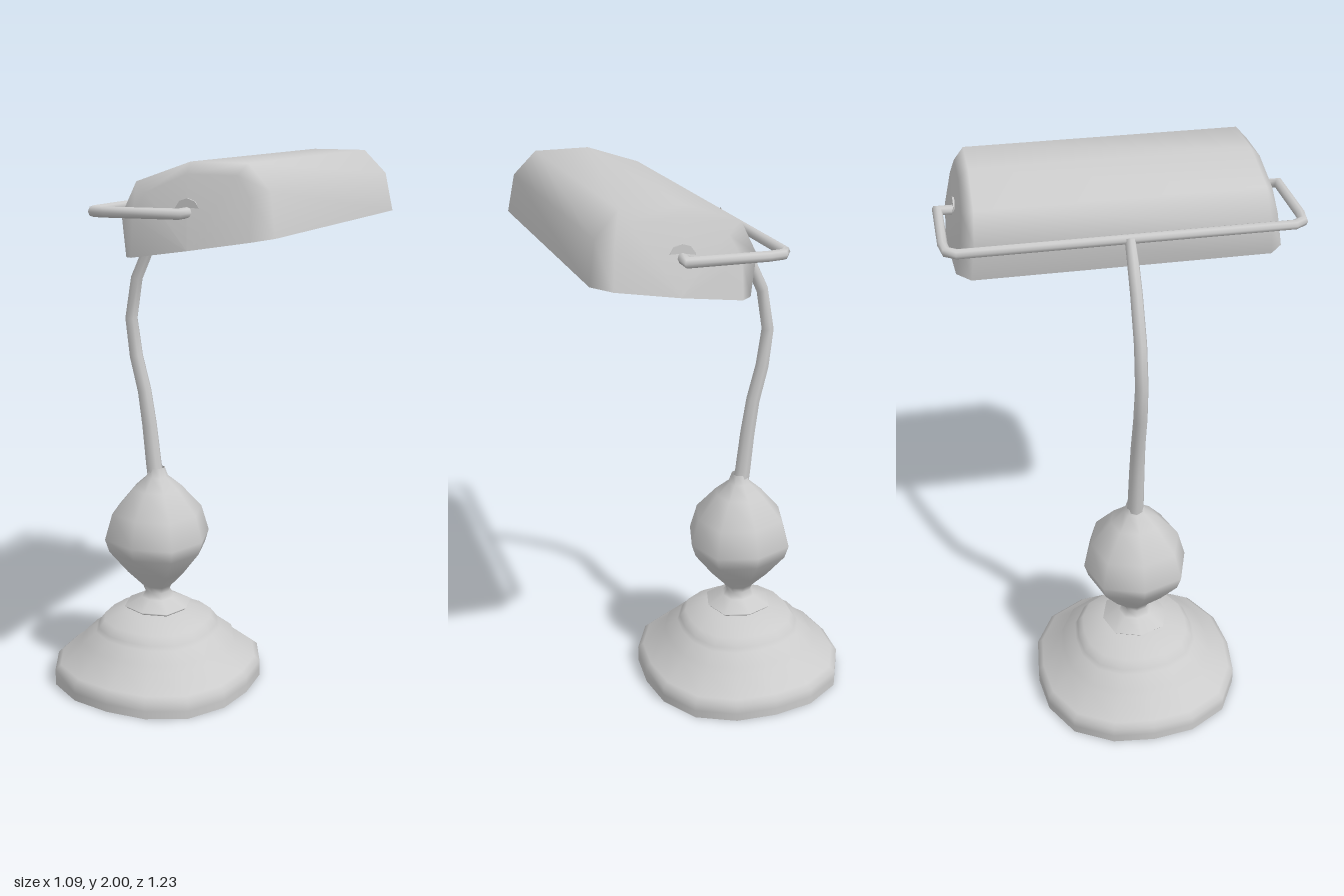
import * as THREE from 'three';

const material = new THREE.MeshStandardMaterial({ color: 0xcccccc, side: THREE.DoubleSide });
const AXIS_X = -0.162;

function part(group, name, geometry) {
  const mesh = new THREE.Mesh(geometry, material);
  mesh.name = name;
  group.add(mesh);
  return mesh;
}

// Smooth surface through rows of points; closed joins each row's ends.
function skin(rows, closed) {
  const n = rows[0].length;
  const index = [];
  for (let k = 0; k < rows.length - 1; k++) {
    for (let j = 0; j < (closed ? n : n - 1); j++) {
      const a = k * n + j, b = k * n + (j + 1) % n;
      index.push(a, b, b + n, a, b + n, a + n);
    }
  }
  const geometry = new THREE.BufferGeometry().setFromPoints(rows.flat());
  geometry.setIndex(index);
  geometry.computeVertexNormals();
  return geometry;
}

// Mitred tube along a planar polyline; ref is the plane's normal.
function sweep(points, radii, ref, sides = 8) {
  const path = points.map(p => new THREE.Vector3(...p));
  const rows = path.map((p, k) => {
    const before = p.clone().sub(path[Math.max(k - 1, 0)]).normalize();
    const after = path[Math.min(k + 1, path.length - 1)].clone().sub(p).normalize();
    const tangent = before.clone().add(after).normalize();
    const mitre = 1 / Math.max(tangent.dot(k ? before : after), 0.6);
    const across = tangent.clone().cross(ref);
    const r = Array.isArray(radii) ? radii[k] : radii;
    return Array.from({ length: sides }, (_, j) => {
      const a = j / sides * Math.PI * 2;
      return p.clone().addScaledVector(ref, r * Math.cos(a))
        .addScaledVector(across, r * mitre * Math.sin(a));
    });
  });
  return skin(rows, true);
}

// Turned part whose plan swells slightly on the diagonals.
function turned(profile, sides) {
  const geometry = new THREE.LatheGeometry(profile.map(p => new THREE.Vector2(...p)), sides);
  const pos = geometry.attributes.position;
  for (let i = 0; i < pos.count; i++) {
    const x = pos.getX(i), z = pos.getZ(i);
    const swell = 1 + 0.065 * Math.sin(2 * Math.atan2(z, x)) ** 2;
    pos.setXYZ(i, x * swell, pos.getY(i), z * swell);
  }
  return geometry.translate(AXIS_X, 0, 0);
}

export function createModel() {
  const lamp = new THREE.Group();
  lamp.name = 'deskLamp';

  // Hollow stepped foot
  part(lamp, 'base', turned([
    [0.385, 0], [0.385, 0.03], [0.385, 0.062], [0.365, 0.08], [0.29, 0.135], [0.28, 0.16],
    [0.232, 0.195], [0.222, 0.21], [0.2, 0.24], [0.12, 0.272], [0.05, 0.28],
  ], 16));

  // Collar and eight-sided vase body
  part(lamp, 'vaseBody', turned([
    [0.001, 0.28], [0.115, 0.282], [0.124, 0.292], [0.06, 0.322], [0.045, 0.345], [0.055, 0.37],
    [0.11, 0.43], [0.178, 0.52], [0.193, 0.57], [0.165, 0.67], [0.09, 0.76], [0.04, 0.805], [0.028, 0.84],
  ], 8));

  // Tapered, bent stem
  part(lamp, 'stem', sweep([
    [-0.165, 0.79, 0], [-0.175, 0.85, 0], [-0.192, 1, 0], [-0.212, 1.13, 0], [-0.246, 1.26, 0],
    [-0.265, 1.4, 0], [-0.24, 1.55, 0], [-0.17, 1.7, 0], [-0.115, 1.785, 0], [-0.065, 1.845, 0],
  ], [0.032, 0.03, 0.028, 0.026, 0.025, 0.023, 0.022, 0.021, 0.02, 0.018], new THREE.Vector3(0, 0, 1)));

  // Yoke holding both ends of the shade
  const half = [
    [0.265, 1.852, 0.54], [0.265, 1.852, 0.598], [0.01, 1.847, 0.6],
    [-0.04, 1.846, 0.592], [-0.06, 1.845, 0.56],
  ];
  const mirrored = half.map(([x, y, z]) => [x, y, -z]).reverse();
  part(lamp, 'yoke', sweep([...half, ...mirrored], 0.017, new THREE.Vector3(0, 1, 0)));

  // Open-bottomed shade: arch edge, bevel and bulged end caps
  const arch = [
    [0.03, 1.7, 0.515], [0.006, 1.83, 0.5], [0.055, 1.935, 0.49], [0.245, 2, 0.485],
    [0.44, 2, 0.485], [0.52, 1.92, 0.495], [0.545, 1.785, 0.515],
  ];
  const bevel = [
    [0.075, 1.706, 0.562], [0.07, 1.83, 0.54], [0.11, 1.905, 0.528], [0.25, 1.965, 0.52],
    [0.42, 1.965, 0.52], [0.47, 1.9, 0.535], [0.485, 1.775, 0.562],
  ];
  const centre = arch.map(() => [0.28, 1.74, 0.577]);
  const rows = [[centre, 1], [bevel, 1], [arch, 1], [arch, -1], [bevel, -1], [centre, -1]];
  part(lamp, 'shade', skin(rows.map(([row, s]) =>
    row.map(([x, y, z]) => new THREE.Vector3(x, y, z * s))), false));

  // Light tube and its two sockets
  const rod = (name, r, length, z) => part(lamp, name,
    new THREE.CylinderGeometry(r, r, length, 10).rotateX(Math.PI / 2).translate(0.265, 1.85, z));
  rod('lightTube', 0.022, 1.0, 0);
  for (const s of [1, -1]) rod(s > 0 ? 'frontSocket' : 'backSocket', 0.045, 0.09, s * 0.5);

  return lamp;
}
